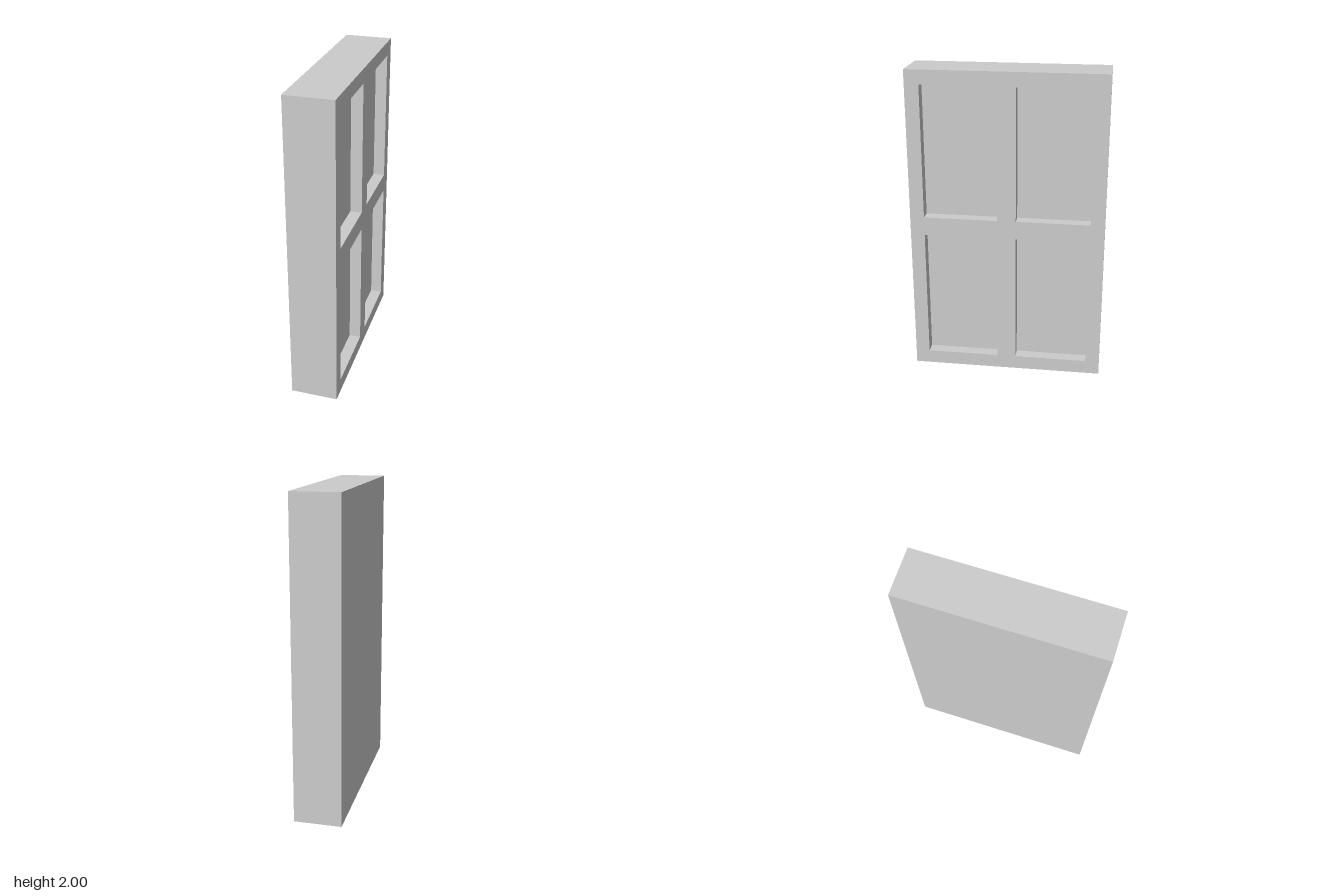
import * as THREE from 'three';

const W = 1.236, H = 2, T = 0.3;      // width (z), height (y), thickness (x)
const RECESS = 0.075;                 // depth of the sunken panels
const BORDER = 0.09, BAR = 0.12;      // outer border and crossing bars

// Rectangle traced from its lower corner
function rect(target, x, y, w, h) {
  target.moveTo(x, y);
  target.lineTo(x + w, y);
  target.lineTo(x + w, y + h);
  target.lineTo(x, y + h);
  target.closePath();
  return target;
}

export function createModel() {
  const group = new THREE.Group();
  group.name = 'panelledDoor';
  const material = new THREE.MeshStandardMaterial({ color: 0xcccccc, flatShading: true });

  // Solid slab behind the panels
  const slab = new THREE.Mesh(new THREE.BoxGeometry(T - RECESS, H, W), material);
  slab.name = 'slab';
  slab.position.set(-RECESS / 2, H / 2, 0);
  group.add(slab);

  // Frame with a two by two set of openings, on the +x side
  const shape = rect(new THREE.Shape(), -W / 2, 0, W, H);
  const openW = (W - 2 * BORDER - BAR) / 2;
  const openH = (H - 2 * BORDER - BAR) / 2;
  for (let col = 0; col < 2; col++) {
    for (let row = 0; row < 2; row++) {
      const x = -W / 2 + BORDER + col * (openW + BAR);
      const y = BORDER + row * (openH + BAR);
      shape.holes.push(rect(new THREE.Path(), x, y, openW, openH));
    }
  }
  const frameGeometry = new THREE.ExtrudeGeometry(shape, { depth: RECESS, bevelEnabled: false });
  frameGeometry.rotateY(Math.PI / 2);
  const frame = new THREE.Mesh(frameGeometry, material);
  frame.name = 'panelFrame';
  frame.position.x = T / 2 - RECESS;
  group.add(frame);

  return group;
}
